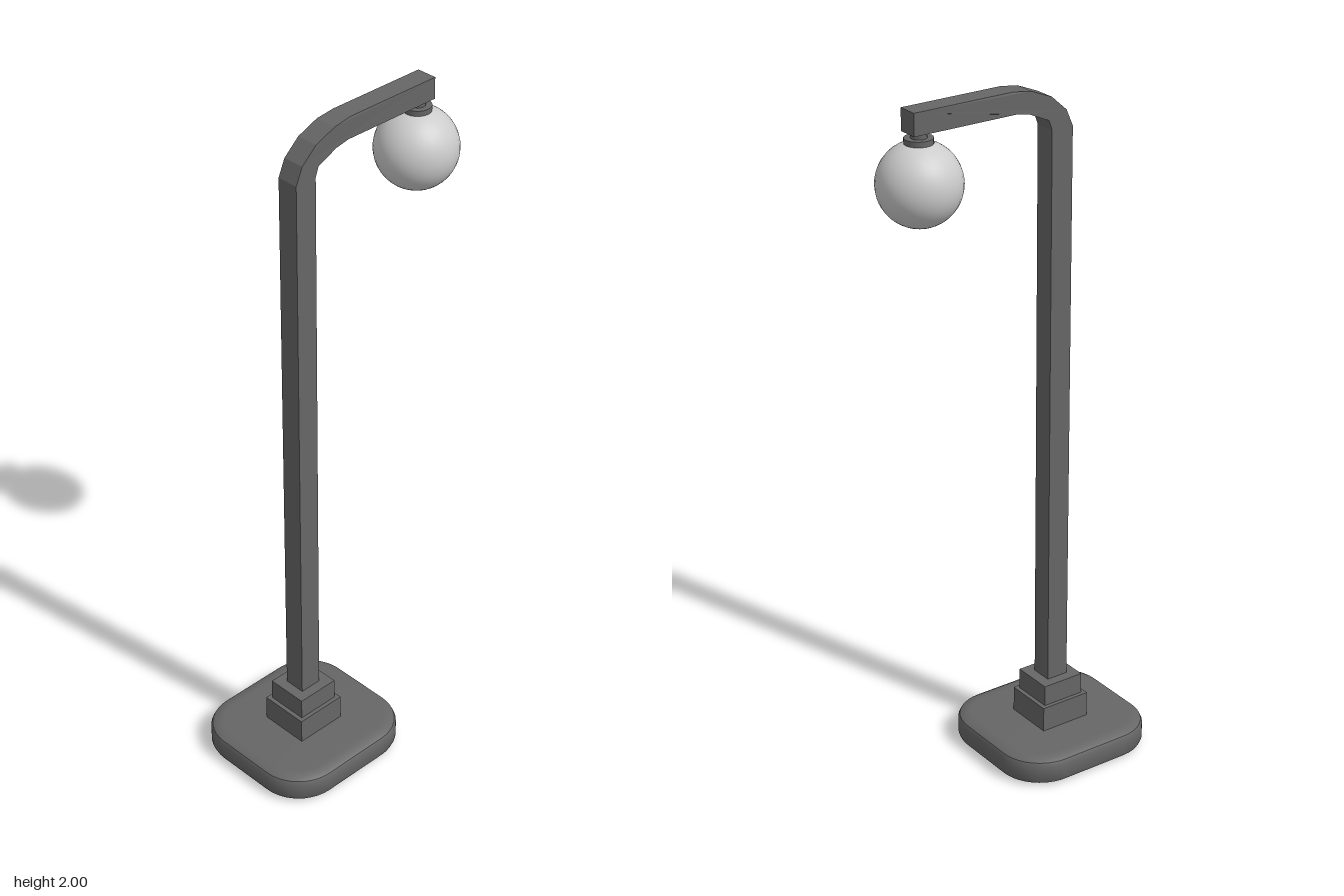
import * as THREE from 'three';
import { toCreasedNormals } from 'three/addons/utils/BufferGeometryUtils.js';

const POLE_X = -0.155;
const LAMP_X = 0.272;

export function createModel() {
  const model = new THREE.Group();
  const metal = new THREE.MeshStandardMaterial({ color: 0x666666 });
  const glass = new THREE.MeshStandardMaterial({ color: 0xcccccc });

  function add(name, geometry, material, x = 0, y = 0, z = 0) {
    const mesh = new THREE.Mesh(geometry, material);
    mesh.name = name;
    mesh.position.set(x, y, z);
    model.add(mesh);
    return mesh;
  }

  // Base: rounded slab with bevelled rims
  const bevel = 0.035, hx = 0.235 - bevel, hz = 0.221 - bevel, r = 0.13 - bevel;
  const slab = new THREE.Shape();
  slab.moveTo(hx, -hz + r);
  slab.absarc(hx - r, hz - r, r, 0, Math.PI / 2);
  slab.absarc(-hx + r, hz - r, r, Math.PI / 2, Math.PI);
  slab.absarc(-hx + r, -hz + r, r, Math.PI, Math.PI * 1.5);
  slab.absarc(hx - r, -hz + r, r, Math.PI * 1.5, Math.PI * 2);
  const baseGeometry = new THREE.ExtrudeGeometry(slab, {
    depth: 0.045, bevelThickness: 0.02, bevelSize: bevel, bevelSegments: 3, curveSegments: 5,
  });
  baseGeometry.rotateX(-Math.PI / 2);
  add('base', toCreasedNormals(baseGeometry, 0.6), metal, POLE_X, 0.02);

  // Stepped square plinth
  add('lowerPlinth', new THREE.BoxGeometry(0.155, 0.085, 0.148), metal, POLE_X, 0.1175);
  add('upperPlinth', new THREE.BoxGeometry(0.13, 0.065, 0.124), metal, POLE_X, 0.19);

  // Square pole bending into the horizontal arm, drawn from the side
  const outline = [
    [-0.122, 0.2], [-0.122, 1.875], [-0.112, 1.903], [-0.05, 1.931], [-0.01, 1.938],
    [0.305, 1.938], [0.305, 2], [0, 2], [-0.056, 1.992], [-0.12, 1.966],
    [-0.168, 1.923], [-0.189, 1.875], [-0.189, 0.2],
  ].map(([x, y]) => new THREE.Vector2(x, y));
  const poleGeometry = new THREE.ExtrudeGeometry(new THREE.Shape(outline), {
    depth: 0.064, bevelEnabled: false,
  });
  // The arm is slightly slimmer than the pole
  const p = poleGeometry.attributes.position;
  for (let i = 0; i < p.count; i++) {
    const slim = p.getX(i) > -0.02 ? 0.94 : 1;
    p.setZ(i, (p.getZ(i) - 0.032) * slim);
  }
  poleGeometry.computeVertexNormals();
  add('poleAndArm', poleGeometry, metal);

  // Lamp fitting and globe
  add('lampStem', new THREE.CylinderGeometry(0.022, 0.022, 0.03, 16), metal, LAMP_X, 1.93);
  add('lampCollar', new THREE.CylinderGeometry(0.039, 0.039, 0.016, 20), metal, LAMP_X, 1.915);
  add('globe', new THREE.SphereGeometry(0.115, 32, 24), glass, LAMP_X, 1.8);

  return model;
}
